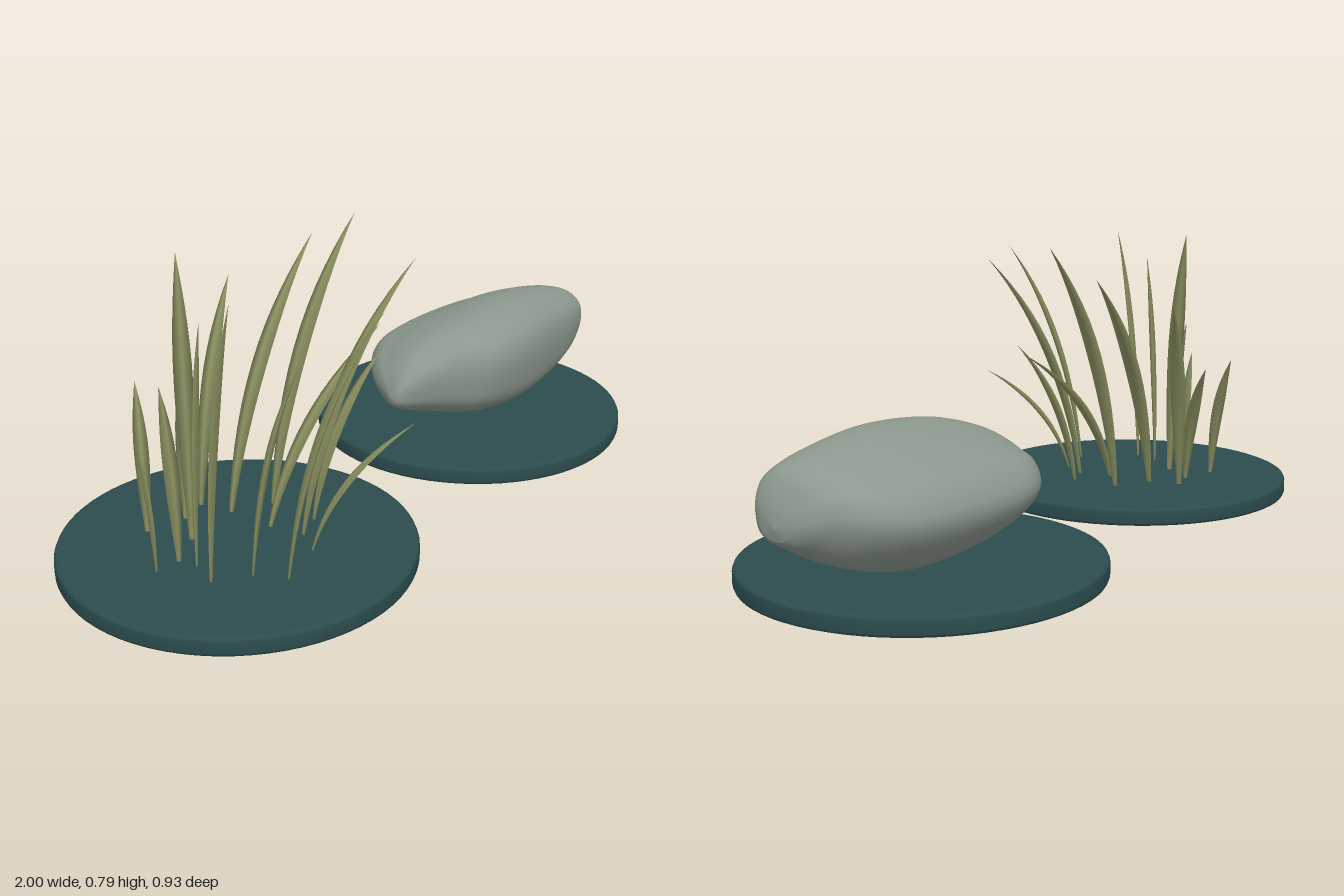
import * as THREE from 'three';

const baseMat = new THREE.MeshStandardMaterial({ color: 0x2c4c4e });
baseMat.name = 'deepTeal';
const rockMat = new THREE.MeshStandardMaterial({ color: 0x8c988e });
rockMat.name = 'stoneGrey';
const grassMat = new THREE.MeshStandardMaterial({ color: 0x8a9060 });
grassMat.name = 'grassGreen';

// Skins a row of equal closed rings with smooth normals
function loft(rings) {
  const n = rings[0].length, pos = [], idx = [];
  rings.forEach(r => r.forEach(p => pos.push(p.x, p.y, p.z)));
  for (let i = 0; i < rings.length - 1; i++) {
    for (let j = 0; j < n; j++) {
      const k = (j + 1) % n;
      const a = i * n + j, b = a + n, c = i * n + k, d = c + n;
      idx.push(a, b, c, b, d, c);
    }
  }
  const g = new THREE.BufferGeometry();
  g.setAttribute('position', new THREE.Float32BufferAttribute(pos, 3));
  g.setIndex(idx);
  g.computeVertexNormals();
  return g;
}

// Round plinth with softened rims
function makeDisc(x, name) {
  const profile = [[0, 0], [0.44, 0], [0.455, 0], [0.462, 0.003], [0.465, 0.01],
    [0.465, 0.04], [0.462, 0.047], [0.455, 0.05], [0.44, 0.05], [0, 0.05]];
  const disc = new THREE.Mesh(
    new THREE.LatheGeometry(profile.map(p => new THREE.Vector2(...p)), 72), baseMat);
  disc.position.x = x;
  disc.name = name;
  return disc;
}

// Boulder: one lopsided outline, resized along x
function makeRock() {
  const outline = [[0.21, 0.28], [0.19, 0.335], [0.13, 0.377], [0.05, 0.386], [-0.06, 0.355],
    [-0.14, 0.317], [-0.205, 0.285], [-0.245, 0.21], [-0.2, 0.13], [-0.1, 0.066], [0, 0.055],
    [0.1, 0.07], [0.18, 0.125], [0.205, 0.2]];
  const loop = new THREE.CatmullRomCurve3(
    outline.map(([z, y]) => new THREE.Vector3(0, (y - 0.22) / 0.165, (z + 0.018) / 0.228)), true)
    .getPoints(48).slice(0, 48);
  // x, back z, front z, low y, high y
  const stations = [[0.14, -0.015, 0.015, 0.185, 0.215], [0.155, -0.04, 0.03, 0.17, 0.245],
    [0.2, -0.11, 0.06, 0.145, 0.29], [0.28, -0.185, 0.11, 0.115, 0.333],
    [0.37, -0.235, 0.185, 0.088, 0.363], [0.47, -0.246, 0.207, 0.066, 0.378],
    [0.6, -0.238, 0.21, 0.055, 0.386], [0.72, -0.22, 0.2, 0.062, 0.381],
    [0.82, -0.19, 0.192, 0.088, 0.366], [0.89, -0.14, 0.18, 0.12, 0.35],
    [0.935, -0.07, 0.165, 0.15, 0.33], [0.96, -0.02, 0.15, 0.165, 0.29],
    [0.975, 0.03, 0.12, 0.18, 0.25]];
  const lowHigh = new THREE.CatmullRomCurve3(stations.map(s => new THREE.Vector3(s[0], s[3], s[4])));
  const backFront = new THREE.CatmullRomCurve3(stations.map(s => new THREE.Vector3(s[0], s[1], s[2])));
  const rings = [];
  const steps = 48;
  for (let i = 0; i <= steps; i++) {
    const h = lowHigh.getPoint(i / steps), w = backFront.getPoint(i / steps);
    rings.push(loop.map(p => new THREE.Vector3(h.x,
      (h.y + h.z) / 2 + p.y * (h.z - h.y) / 2,
      (w.y + w.z) / 2 + p.z * (w.z - w.y) / 2)));
  }
  // Close both ends
  const tipRing = (x, y, z) => loop.map(() => new THREE.Vector3(x, y, z));
  rings.unshift(tipRing(0.138, 0.2, 0));
  rings.push(tipRing(0.98, 0.21, 0.075));
  const rock = new THREE.Mesh(loft(rings), rockMat);
  rock.name = 'rock';
  return rock;
}

// Tapered leaf with a diamond section, bending from base to tip
function makeBlade([bx, bz, tx, ty, tz]) {
  const base = new THREE.Vector3(bx, 0.045, bz), tip = new THREE.Vector3(tx, ty, tz);
  const dx = tx - bx, dz = tz - bz, lean = Math.hypot(dx, dz);
  const bend = new THREE.QuadraticBezierCurve3(base,
    new THREE.Vector3(bx + dx * 0.2, 0.05 + (ty - 0.05) * 0.62, bz + dz * 0.2), tip);
  const side = new THREE.Vector3(-dz / lean, 0, dx / lean);
  const half = 0.013 + 0.014 * ty;
  const rings = [];
  const steps = 14;
  for (let i = 0; i <= steps; i++) {
    const t = i / steps, p = bend.getPoint(t);
    const normal = new THREE.Vector3().crossVectors(side, bend.getTangent(t));
    const swell = t < 0.5 ? 0.3 + 0.7 * Math.sin(t * Math.PI) : Math.cos((t - 0.5) * Math.PI);
    const w = half * swell, d = w * 0.4;
    rings.push([[w, 0], [0, d], [-w, 0], [0, -d]].map(([u, v]) =>
      p.clone().addScaledVector(side, u).addScaledVector(normal, v)));
  }
  const blade = new THREE.Mesh(loft(rings), grassMat);
  blade.name = 'grassBlade';
  return blade;
}

export function createModel() {
  const model = new THREE.Group();
  model.name = 'rockAndGrass';
  model.add(makeDisc(-0.535, 'grassBase'), makeDisc(0.535, 'rockBase'), makeRock());

  // base x, base z, tip x, tip y, tip z
  const blades = [
    [-0.65, 0.15, -0.58, 0.6, 0.25], [-0.61, 0.23, -0.45, 0.735, 0.4],
    [-0.47, 0.19, -0.26, 0.375, 0.36], [-0.42, 0.12, -0.08, 0.73, 0.225],
    [-0.34, 0.09, -0.12, 0.485, 0.155], [-0.44, 0.025, 0.02, 0.485, 0.045],
    [-0.34, -0.05, 0.02, 0.78, -0.045], [-0.44, -0.11, 0.01, 0.7, -0.185],
    [-0.46, -0.2, -0.21, 0.615, -0.3], [-0.61, -0.09, -0.54, 0.787, -0.17],
    [-0.54, -0.18, -0.4, 0.415, -0.31], [-0.65, -0.21, -0.57, 0.42, -0.31],
    [-0.71, -0.04, -0.69, 0.5, -0.1], [-0.78, -0.05, -0.81, 0.39, -0.06],
    [-0.735, 0.09, -0.715, 0.777, 0.163], [-0.7, 0.01, -0.685, 0.7, 0.04],
  ];
  const grass = new THREE.Group();
  grass.name = 'grassTuft';
  blades.forEach(b => grass.add(makeBlade(b)));
  model.add(grass);
  return model;
}
